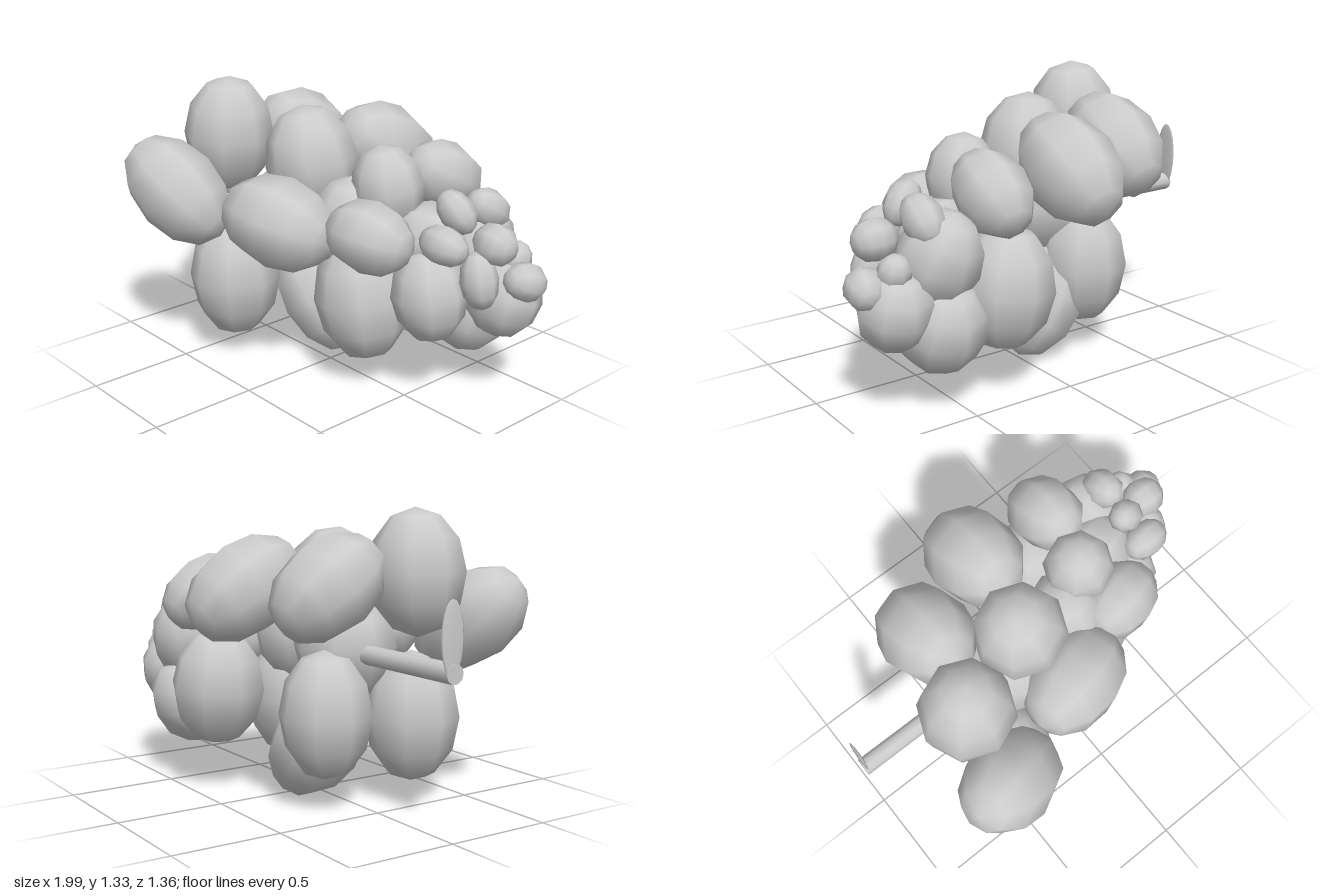
import * as THREE from 'three';

export function createModel() {
  const bunch = new THREE.Group();
  bunch.name = 'grapeBunch';
  const mat = new THREE.MeshStandardMaterial({ color: 0xcccccc });
  const ball = new THREE.SphereGeometry(1, 8, 6);
  const up = new THREE.Vector3(0, 1, 0);

  // One oval berry: centre, short radius, long radius, direction of the long axis
  function berry(name, [x, y, z, short, long, dx, dy, dz]) {
    const m = new THREE.Mesh(ball, mat);
    m.name = name;
    m.position.set(x, y, z);
    m.scale.set(short, long, short);
    m.quaternion.setFromUnitVectors(up, new THREE.Vector3(dx, dy, dz).normalize());
    bunch.add(m);
  }

  const rows = {
    // Berries standing on the upper side
    upperBerry: [
      [-0.53, 1.04, 0.175, 0.215, 0.28, 0.05, 1, 0],
      [-0.12, 0.96, 0.01, 0.218, 0.27, -0.15, 1, 0.1],
      [0.29, 0.91, -0.08, 0.165, 0.2, -0.15, 1, 0.1],
    ],
    // Berries leaning out to the back
    backBerry: [
      [-0.45, 0.99, -0.23, 0.21, 0.285, 0, -0.55, -0.85],
      [-0.06, 0.965, -0.4, 0.213, 0.295, 0, -0.5, -0.85],
      [0.34, 0.915, -0.385, 0.165, 0.22, 0, -0.5, -0.85],
      [0.58, 0.66, -0.34, 0.19, 0.225, -0.2, 0.8, -0.3],
    ],
    // Berries lying along the front
    frontBerry: [
      [-0.54, 0.82, 0.475, 0.208, 0.3, -0.72, 0.6, 0.25],
      [-0.025, 0.75, 0.285, 0.213, 0.285, 1, -0.2, -0.3],
      [0.38, 0.75, 0.115, 0.165, 0.21, 1, -0.15, -0.25],
    ],
    // Berries hanging on the underside
    lowerBerry: [
      [-0.4, 0.38, 0.26, 0.218, 0.3, 0, 1, 0],
      [-0.15, 0.265, -0.08, 0.212, 0.3, 0.5, -0.75, -0.15],
      [-0.33, 0.42, -0.16, 0.21, 0.29, 0, 1, 0],
      [0.25, 0.41, 0.03, 0.222, 0.3, -0.15, 1, 0],
      [0.26, 0.48, -0.365, 0.222, 0.28, -0.1, 1, 0],
      [0.57, 0.49, -0.07, 0.172, 0.215, -0.15, 1, 0],
      [0.57, 0.37, -0.345, 0.2, 0.22, 0, 1, -0.4],
      [0.78, 0.48, -0.325, 0.172, 0.185, 0, 1, -0.3],
    ],
    // Small berries at the tip
    tipBerry: [
      [0.635, 0.87, -0.155, 0.078, 0.108, -0.6, 0.7, 0.2],
      [0.65, 0.845, -0.34, 0.092, 0.125, 0, 0.6, 0.8],
      [0.67, 0.755, -0.042, 0.088, 0.118, 1, -0.15, -0.1],
      [0.805, 0.755, -0.215, 0.096, 0.102, 1, -0.1, 0],
      [0.79, 0.605, -0.14, 0.085, 0.13, -0.2, 1, 0],
      [0.905, 0.59, -0.305, 0.09, 0.102, 0.2, -0.3, -1],
      [0.8, 0.65, -0.36, 0.075, 0.085, 0, 1, -0.4],
    ],
    // Inner berries filling the middle
    coreBerry: [
      [-0.22, 0.7, 0.02, 0.235, 0.25, 0, 1, 0],
      [0.15, 0.72, 0.0, 0.2, 0.23, 0, 1, 0],
      [0.46, 0.69, -0.16, 0.18, 0.21, 1, 0, -0.3],
    ],
  };
  for (const [name, list] of Object.entries(rows)) list.forEach((b, i) => berry(name + (i + 1), b));

  // Stem running into the bunch
  const stem = new THREE.Mesh(new THREE.CylinderGeometry(0.043, 0.043, 1.1, 10), mat);
  stem.name = 'stem';
  stem.rotation.z = Math.PI / 2;
  stem.position.set(-0.45, 0.683, -0.003);
  bunch.add(stem);

  // Thin leaf standing at the end of the stem
  const leaf = new THREE.Mesh(new THREE.SphereGeometry(1, 12, 10), mat);
  leaf.name = 'leaf';
  leaf.scale.set(0.008, 0.155, 0.058);
  leaf.position.set(-0.99, 0.825, -0.012);
  bunch.add(leaf);

  return bunch;
}
